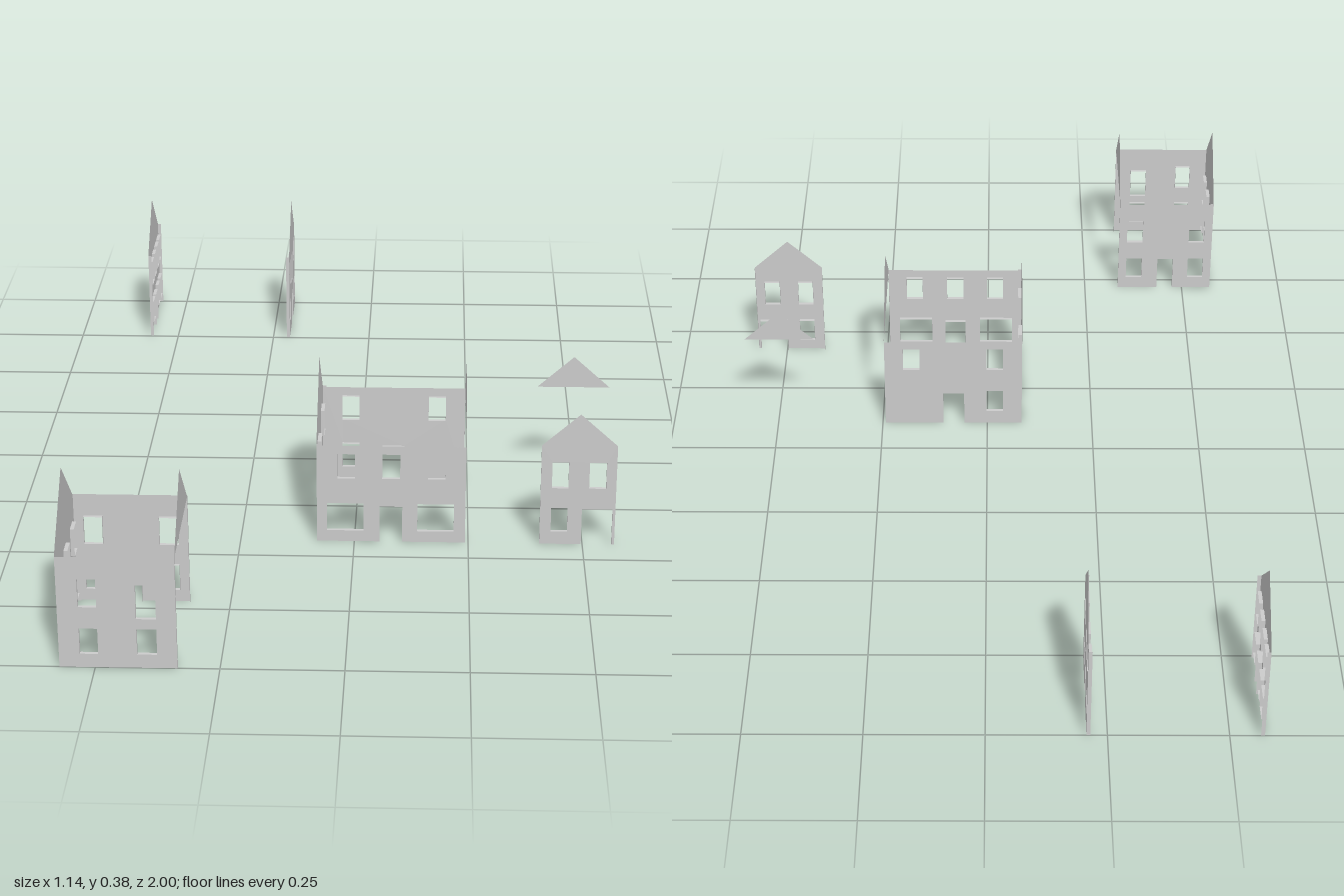
import * as THREE from 'three';

const material = new THREE.MeshStandardMaterial({ color: 0xcccccc, side: THREE.DoubleSide });
const DEPTH = 0.008; // how far the opening reveals reach inwards

// Turn of each wall, and the sign from world axis to wall axis
const SIDES = {
  front: { angle: 0, sign: 1, axis: 'z' },
  back: { angle: Math.PI, sign: -1, axis: 'z' },
  left: { angle: Math.PI / 2, sign: -1, axis: 'x' },
  right: { angle: -Math.PI / 2, sign: 1, axis: 'x' },
};

// Strips running inwards from each polyline of [u, y] points
function ribbons(lines) {
  const p = [];
  for (const line of lines) {
    for (let i = 0; i + 1 < line.length; i++) {
      const [a, b] = line[i], [c, d] = line[i + 1];
      p.push(a, b, 0, a, b, -DEPTH, c, d, -DEPTH, a, b, 0, c, d, -DEPTH, c, d, 0);
    }
  }
  const g = new THREE.BufferGeometry();
  g.setAttribute('position', new THREE.Float32BufferAttribute(p, 3));
  g.computeVertexNormals();
  return g;
}

// A thin wall: span along its axis, eave height, optional gable apex,
// openings as [from, to, bottom, top]; bottom 0 makes a doorway
function wall(name, side, at, span, eave, apex, openings) {
  const { angle, sign, axis } = SIDES[side];
  const range = (a, b) => [a * sign, b * sign].sort((m, n) => m - n);
  const [u0, u1] = range(...span);
  const holes = openings
    .map(([a, b, y0, y1]) => [...range(a, b), y0, y1])
    .sort((m, n) => m[0] - n[0]);

  const outline = [[u0, 0]];
  const edges = [[[u0, 0], [u0, eave]], [[u1, eave], [u1, 0]]];
  const windows = [];
  for (const [a, b, y0, y1] of holes) {
    if (y0 === 0) {
      const door = [[a, 0], [a, y1], [b, y1], [b, 0]];
      outline.push(...door);
      edges.push(door);
    } else {
      const ring = [[a, y0], [a, y1], [b, y1], [b, y0], [a, y0]];
      windows.push(ring);
      edges.push(ring);
    }
  }
  outline.push([u1, 0], [u1, eave]);
  if (apex) outline.push([(u0 + u1) / 2, apex]);
  outline.push([u0, eave]);

  const toVectors = (pts) => pts.map(([u, y]) => new THREE.Vector2(u, y));
  const shape = new THREE.Shape(toVectors(outline));
  for (const ring of windows) shape.holes.push(new THREE.Path(toVectors(ring)));

  const group = new THREE.Group();
  group.name = name;
  const skin = new THREE.Mesh(new THREE.ShapeGeometry(shape), material);
  skin.name = name + 'Skin';
  const reveals = new THREE.Mesh(ribbons(edges), material);
  reveals.name = name + 'Reveals';
  group.add(skin, reveals);
  group.rotation.y = angle;
  group.position[axis] = at;
  return group;
}

// A lone gable triangle
function gable(name, side, at, span, eave, apex) {
  const { angle, sign, axis } = SIDES[side];
  const [u0, u1] = span.map((v) => v * sign).sort((m, n) => m - n);
  const shape = new THREE.Shape([
    new THREE.Vector2(u0, eave), new THREE.Vector2(u1, eave), new THREE.Vector2((u0 + u1) / 2, apex),
  ]);
  const mesh = new THREE.Mesh(new THREE.ShapeGeometry(shape), material);
  mesh.name = name;
  mesh.rotation.y = angle;
  mesh.position[axis] = at;
  return mesh;
}

function house(name, ...parts) {
  const g = new THREE.Group();
  g.name = name;
  g.add(...parts);
  return g;
}

// Every column [from, to] repeated on every row [bottom, top]
const grid = (columns, rows) => columns.flatMap((c) => rows.map((r) => [...c, ...r]));

export function createModel() {
  const model = new THREE.Group();
  model.name = 'houseWalls';
  const low = [0.03, 0.087], high = [0.135, 0.197], mid = [0.11, 0.185], door = [0, 0.085];

  // Corner house: three walls and one loose gable ('right' side faces -x)
  const ax = [-0.572, -0.335], az = [0.72, 1];
  model.add(house('cornerHouse',
    wall('frontWall', 'front', 1, ax, 0.246, 0, [
      [-0.53, -0.493, ...low], [-0.53, -0.493, ...high],
      [-0.415, -0.375, ...low], [-0.415, -0.375, ...mid],
    ]),
    wall('backWall', 'back', 0.715, ax, 0.246, 0, [
      ...grid([[-0.552, -0.513], [-0.395, -0.355]], [low, high]),
      [-0.475, -0.435, ...door],
    ]),
    wall('gableWall', 'right', -0.572, az, 0.246, 0.375, [
      [0.935, 0.972, ...low], [0.935, 0.972, ...mid],
      [0.84, 0.877, ...high], [0.84, 0.877, ...door],
      ...grid([[0.743, 0.78]], [low, high]),
    ]),
    gable('looseGable', 'left', -0.335, az, 0.246, 0.375)));

  // Wide house with a shop front
  const bx = [-0.082, 0.243], bz = [0.105, 0.425];
  const upper = [0.152, 0.21];
  model.add(house('wideHouse',
    wall('frontWall', 'front', 0.425, bx, 0.23, 0, [
      ...grid([[-0.037, 0.002], [0.06, 0.1], [0.16, 0.199]], [upper]),
      [-0.06, 0.02, 0.026, 0.092], [0.138, 0.218, 0.026, 0.092],
      [0.055, 0.105, ...door],
    ]),
    wall('backWall', 'back', 0.105, bx, 0.23, 0, [
      ...grid([[-0.037, 0.002], [0.16, 0.199]], [upper]),
      [-0.037, 0.002, 0.034, 0.092], [0.055, 0.105, ...door],
    ]),
    wall('gableWall', 'right', -0.082, bz, 0.233, 0.372, [
      ...grid([[0.325, 0.37], [0.163, 0.205]], [[0.152, 0.214]]),
      [0.325, 0.37, 0.034, 0.098], [0.16, 0.208, ...door],
    ]),
    gable('looseGable', 'left', 0.243, bz, 0.233, 0.372)));

  // Narrow house: front wall and loose rear gable
  const dx = [0.406, 0.57];
  model.add(house('narrowHouse',
    wall('frontWall', 'front', 0.425, dx, 0.237, 0.311, [
      ...grid([[0.43, 0.466], [0.511, 0.548]], [high]),
      [0.43, 0.466, ...low], [0.497, 0.564, ...door],
    ]),
    gable('looseGable', 'back', 0.105, dx, 0.237, 0.311)));

  // Rear house: two facing gable walls
  const cz = [-1, -0.755];
  model.add(house('rearHouse',
    wall('streetWall', 'left', -0.207, cz, 0.222, 0.333, [
      ...grid([[-0.98, -0.944], [-0.815, -0.777]], [low, high]),
      [-0.9, -0.862, ...mid], [-0.902, -0.862, ...door],
    ]),
    wall('yardWall', 'right', -0.572, cz, 0.222, 0.333, [
      ...grid([[-0.985, -0.944], [-0.93, -0.894], [-0.815, -0.775]], [low, high]),
      [-0.872, -0.835, ...high], [-0.872, -0.832, ...door],
    ])));

  return model;
}
